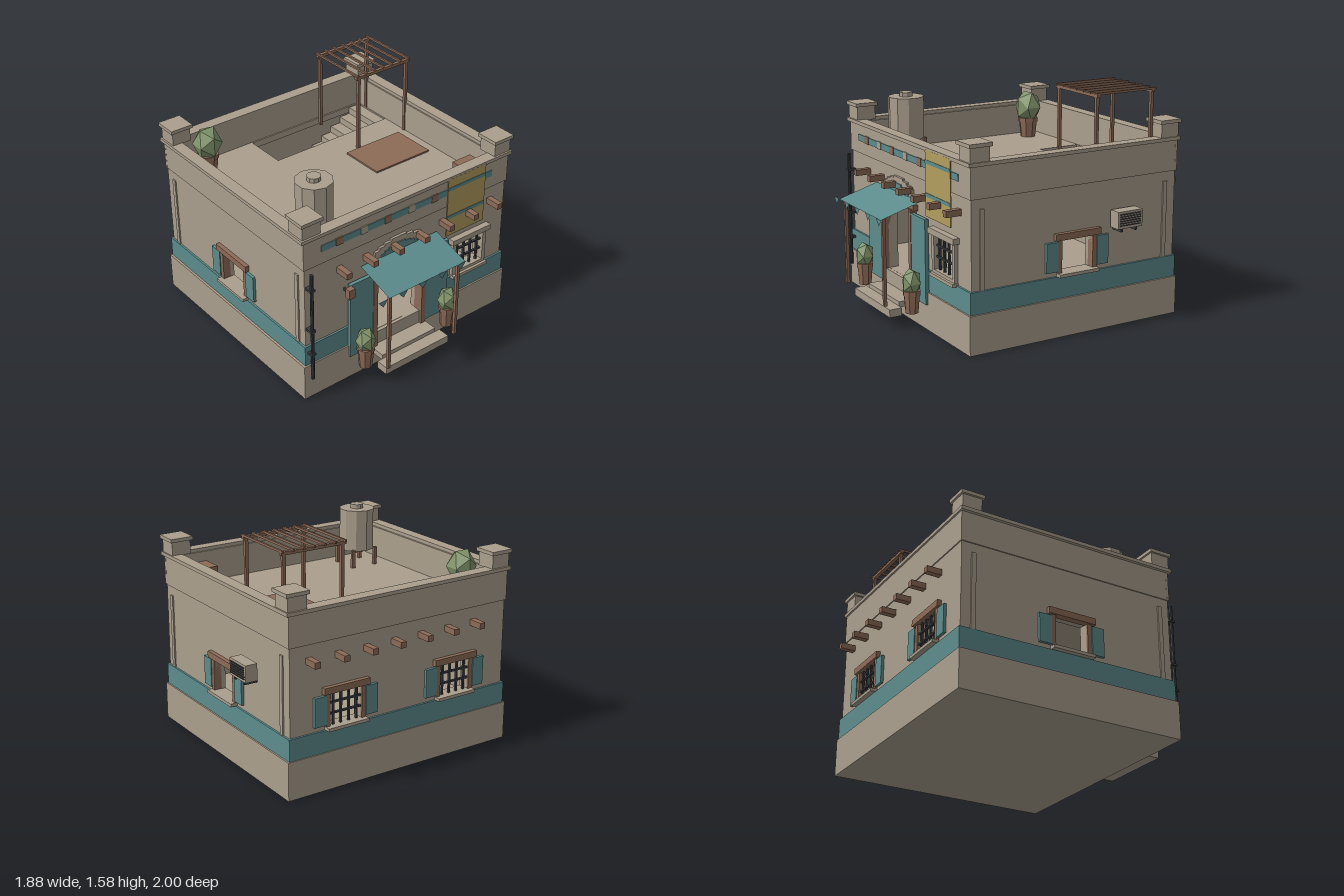
import * as THREE from 'three';

const mat = (name, color) => {
  const m = new THREE.MeshStandardMaterial({ color, side: THREE.DoubleSide, flatShading: true });
  m.name = name;
  return m;
};

export function createModel() {
  const model = new THREE.Group();
  const adobe = mat('adobe', 0xab9f8d), teal = mat('teal', 0x5d8c8d), wood = mat('wood', 0x8d6b57);
  const iron = mat('iron', 0x3c3e41), leaf = mat('leaf', 0x82956c), ochre = mat('ochre', 0xb39e5e);

  const add = (parent, name, geo, material) => {
    const m = new THREE.Mesh(geo, material);
    m.name = name;
    parent.add(m);
    return m;
  };
  // Box given by its minimum and maximum on each axis
  const box = (parent, name, material, x0, x1, y0, y1, z0, z1) => {
    const m = add(parent, name, new THREE.BoxGeometry(x1 - x0, y1 - y0, z1 - z0), material);
    m.position.set((x0 + x1) / 2, (y0 + y1) / 2, (z0 + z1) / 2);
    return m;
  };
  const cyl = (parent, name, material, rTop, rBottom, y0, y1, sides, x, z) => {
    const m = add(parent, name, new THREE.CylinderGeometry(rTop, rBottom, y1 - y0, sides), material);
    m.position.set(x, (y0 + y1) / 2, z);
    return m;
  };
  const rect = (path, x0, x1, y0, y1) =>
    path.moveTo(x0, y0).lineTo(x1, y0).lineTo(x1, y1).lineTo(x0, y1).closePath();
  // Plate with rectangular holes; depth runs from z0 to z1
  const holed = (parent, name, material, r, holes, z0, z1) => {
    const s = rect(new THREE.Shape(), ...r);
    holes.forEach(h => s.holes.push(rect(new THREE.Path(), ...h)));
    const m = add(parent, name, new THREE.ExtrudeGeometry(s, { depth: z1 - z0, bevelEnabled: false }), material);
    m.position.z = z0;
    return m;
  };
  // Each facade is a group whose local z = 0 is the outer wall plane
  const facade = (name, x, z, turn) => {
    const g = new THREE.Group();
    g.name = name;
    g.position.set(x, 0, z);
    g.rotation.y = turn;
    model.add(g);
    return g;
  };
  const X0 = -0.895, X1 = 0.825, Z0 = -0.895, Z1 = 0.69, T = 0.07, ROOF = 1.0;
  const front = facade('frontFacade', 0, Z1, 0);
  const back = facade('backFacade', 0, Z0, Math.PI);
  const right = facade('leftFacade', X1, 0, Math.PI / 2);
  const left = facade('rightFacade', X0, 0, -Math.PI / 2);

  // Base, walls, painted band and parapet band
  box(model, 'base', adobe, -0.925, 0.85, 0, 0.265, -0.915, 0.715);
  const hole = u => [u - 0.12, u + 0.12, 0.435, 0.665];
  const frontWindow = [0.38, 0.625, 0.45, 0.69];
  const walls = [
    [front, X0, X1, [[-0.33, 0.06, 0.266, 0.79], frontWindow], 0.014],
    [back, -X1, -X0, [hole(0.47), hole(-0.41)], 0.014],
    [right, -Z1 + T, -Z0 - T, [hole(0.1)], T],
    [left, Z0 + T, Z1 - T, [hole(-0.1)], T],
  ];
  for (const [g, a, b, holes, ext] of walls) {
    holed(g, 'wall', adobe, [a, b, 0.265, 1.22], holes, -T, 0);
    box(g, 'parapetBand', adobe, a - Math.min(ext, T) + 0.005, b + ext - 0.005, 1.01, 1.22, -0.01, 0.008);
    if (g !== front) box(g, 'paintedBand', teal, a - ext, b + ext, 0.265, 0.415, -0.005, 0.014);
  }
  box(front, 'paintedBand', teal, X0 - 0.014, -0.365, 0.265, 0.415, -0.005, 0.014);
  box(front, 'paintedBand', teal, 0.09, X1 + 0.014, 0.265, 0.415, -0.005, 0.014);
  for (const [g, s] of [[right, -1], [left, 1]])
    for (const z of [0.615, -0.81]) box(g, 'pilasterStrip', adobe, s * z - 0.016, s * z + 0.016, 0.415, 0.945, 0, 0.01);

  // Roof deck with stair opening, and coping ring
  const flat = (name, r, holes, y0, y1) => {
    const m = holed(model, name, adobe, r, holes, 0, y1 - y0);
    m.rotation.x = -Math.PI / 2;
    m.position.y = y0;
  };
  flat('roofDeck', [X0 + 0.03, X1 - 0.03, -Z1 + 0.03, -Z0 - 0.03], [[-0.23, 0.75, 0.5, 0.815]], 0.95, ROOF);
  flat('coping', [-0.925, 0.85, -0.715, 0.915], [[-0.84, 0.765, -0.63, 0.825]], 1.22, 1.245);
  for (let i = 0; i < 11; i++) {
    const x = -0.23 + i * 0.089, y = 0.49 + i * 0.05;
    box(model, 'stairTread', adobe, x, x + 0.089, y - 0.05, y, -0.815, -0.5);
  }

  // Corner piers
  for (const x of [-0.842, 0.77]) for (const z of [-0.832, 0.632]) {
    box(model, 'cornerPier', adobe, x - 0.07, x + 0.07, 1.24, 1.34, z - 0.07, z + 0.07);
    box(model, 'cornerPierCap', adobe, x - 0.084, x + 0.084, 1.34, 1.365, z - 0.084, z + 0.084);
  }

  // Window bars: vertical and horizontal rods
  const bars = (g, x0, x1, y0, y1, n) => {
    for (let i = 0; i < n; i++) {
      const x = x0 + (x1 - x0) * (i + 0.5) / n;
      box(g, 'windowBar', iron, x - 0.007, x + 0.007, y0, y1, -0.012, 0.002);
    }
    for (const f of [0.36, 0.68]) {
      const y = y0 + (y1 - y0) * f;
      box(g, 'windowCrossBar', iron, x0, x1, y - 0.006, y + 0.006, -0.01, 0.006);
    }
  };
  // Shuttered windows on sides and back
  const shuttered = (g, u, barred) => {
    box(g, 'windowLintel', wood, u - 0.175, u + 0.175, 0.66, 0.705, -0.02, 0.03);
    box(g, 'windowSill', adobe, u - 0.155, u + 0.155, 0.415, 0.437, -0.03, 0.05);
    for (const s of [-1, 1]) {
      const jamb = u + s * 0.136, shutter = u + s * 0.198;
      box(g, 'windowJamb', wood, jamb - 0.016, jamb + 0.016, 0.435, 0.665, -0.04, 0.015);
      box(g, 'shutter', teal, shutter - 0.045, shutter + 0.045, 0.45, 0.65, 0, 0.02);
    }
    if (barred) bars(g, u - 0.12, u + 0.12, 0.435, 0.665, 4);
  };
  shuttered(right, 0.1, false);
  shuttered(left, -0.1, false);
  shuttered(back, 0.47, true);
  shuttered(back, -0.41, true);

  // Front window
  holed(front, 'frontWindowFrame', adobe, [0.35, 0.655, 0.42, 0.695], [frontWindow], 0, 0.025);
  box(front, 'frontWindowLintel', adobe, 0.33, 0.675, 0.69, 0.73, 0, 0.045);
  box(front, 'frontWindowSill', adobe, 0.345, 0.66, 0.405, 0.428, 0, 0.045);
  bars(front, ...frontWindow, 4);

  // Projecting roof beams
  for (let i = 0; i < 7; i++) {
    const x = -0.62 + i * 0.2175;
    box(model, 'roofBeam', wood, x - 0.021, x + 0.021, 0.884, 0.926, Z1 - 0.04, 0.8);
    box(model, 'roofBeam', wood, x - 0.021, x + 0.021, 0.884, 0.926, -1, Z0 + 0.04);
  }

  // Doorway: jambs, open leaves, steps
  box(model, 'doorJamb', wood, -0.367, -0.33, 0.165, 0.79, 0.66, 0.735);
  box(model, 'doorJamb', wood, 0.057, 0.092, 0.165, 0.79, 0.66, 0.735);
  box(model, 'doorLintel', wood, -0.39, 0.115, 0.78, 0.82, 0.66, 0.725);
  box(model, 'doorLeaf', teal, -0.56, -0.368, 0.18, 0.765, 0.705, 0.732);
  box(model, 'doorLeaf', teal, 0.093, 0.29, 0.18, 0.765, 0.705, 0.732);
  box(model, 'upperStep', adobe, -0.37, 0.1, 0.125, 0.165, 0.7, 0.835);
  box(model, 'lowerStep', adobe, -0.41, 0.14, 0.08, 0.135, 0.835, 0.925);

  // Stepped crown over the door
  const crown = (name, material, steps, z0, z1) => {
    const pts = [];
    let y = 0.8;
    for (const [w, top] of steps) { pts.push([w, y], [w, top]); y = top; }
    const all = [...pts, ...pts.map(([a, b]) => [-a, b]).reverse()];
    const s = new THREE.Shape(all.map(([a, b]) => new THREE.Vector2(a - 0.135, b)));
    add(model, name, new THREE.ExtrudeGeometry(s, { depth: z1 - z0, bevelEnabled: false }), material).position.z = z0;
  };
  crown('doorCrown', adobe, [[0.225, 0.885], [0.2, 0.91], [0.165, 0.93], [0.12, 0.945], [0.065, 0.96]], 0.68, 0.708);
  crown('doorCrownInset', teal, [[0.155, 0.875], [0.125, 0.893], [0.09, 0.906], [0.05, 0.918]], 0.7, 0.714);

  // Cloth awning with pennants and posts
  const awning = add(model, 'awning', new THREE.PlaneGeometry(0.65, Math.hypot(0.29, 0.085)), teal);
  awning.position.set(-0.135, 0.8175, 0.855);
  awning.rotation.x = -Math.atan2(0.29, 0.085);
  for (let i = 0; i < 5; i++) {
    const s = new THREE.Shape([[-0.04, 0], [0, -0.05], [0.04, 0]].map(p => new THREE.Vector2(...p)));
    add(model, 'pennant', new THREE.ShapeGeometry(s), teal).position.set(-0.508 + i * 0.166, 0.776, 0.998);
  }
  for (const x of [-0.428, 0.155]) box(model, 'awningPost', wood, x - 0.011, x + 0.011, 0.175, 0.782, 0.954, 0.976);

  // Painted frieze with tiles, and hanging banner
  box(model, 'frieze', teal, -0.765, 0.685, 1.1, 1.147, 0.697, 0.703);
  [wood, adobe, wood, adobe, wood, adobe, teal].forEach((m, i) => {
    const x = -0.625 + i * 0.1985;
    box(model, 'friezeTile', m, x - 0.027, x + 0.027, 1.098, 1.152, 0.699, 0.707);
  });
  box(model, 'banner', ochre, 0.275, 0.612, 0.785, 1.23, 0.71, 0.716);
  for (const y of [0.92, 1.14]) box(model, 'bannerStripe', teal, 0.275, 0.612, y, y + 0.025, 0.714, 0.719);

  // Drainpipe and wall lantern
  cyl(model, 'drainpipe', iron, 0.012, 0.012, 0.16, 0.99, 8, -0.87, 0.733);
  for (const y of [0.365, 0.55, 0.87]) box(model, 'pipeClamp', iron, -0.889, -0.851, y - 0.008, y + 0.008, 0.69, 0.748);
  box(model, 'wallLantern', wood, -0.603, -0.555, 0.695, 0.765, 0.733, 0.775);
  box(model, 'lanternBracket', iron, -0.585, -0.573, 0.72, 0.74, 0.685, 0.735);

  // Wall air unit
  box(model, 'airUnit', adobe, 0.845, 0.932, 0.695, 0.812, -0.55, -0.355);
  for (let i = 0; i < 6; i++)
    box(model, 'airUnitGrille', iron, 0.93, 0.939, 0.714 + i * 0.015, 0.721 + i * 0.015, -0.535, -0.37);
  for (const z of [-0.51, -0.395]) box(model, 'airUnitBracket', iron, 0.82, 0.92, 0.67, 0.696, z - 0.008, z + 0.008);

  // Potted plants
  const plant = (x, y, z, r, potH, leafR, leafH, leafY) => {
    cyl(model, 'plantPot', wood, r, r * 0.78, y, y + potH, 8, x, z);
    cyl(model, 'plantPotRim', wood, r * 1.06, r * 1.04, y + potH * 0.8, y + potH * 1.01, 8, x, z);
    const f = add(model, 'foliage', new THREE.IcosahedronGeometry(1, 0), leaf);
    f.scale.set(leafR, leafH, leafR);
    f.position.set(x, leafY, z);
  };
  plant(-0.489, 0.125, 0.805, 0.058, 0.155, 0.07, 0.101, 0.334);
  plant(0.23, 0.125, 0.805, 0.058, 0.155, 0.07, 0.101, 0.334);
  plant(-0.69, ROOF, -0.68, 0.072, 0.145, 0.104, 0.13, 1.228);

  // Water tank on legs
  cyl(model, 'waterTank', adobe, 0.128, 0.128, 1.12, 1.42, 10, -0.595, 0.405);
  cyl(model, 'waterTankLid', adobe, 0.048, 0.048, 1.42, 1.45, 10, -0.595, 0.405);
  for (const sx of [-1, 1]) for (const sz of [-1, 1]) {
    const x = -0.595 + sx * 0.097, z = 0.405 + sz * 0.097;
    box(model, 'tankLeg', wood, x - 0.012, x + 0.012, ROOF, 1.13, z - 0.012, z + 0.012);
  }

  // Pergola, mat and crate on the roof
  for (const z of [-0.73, -0.29]) {
    for (const x of [0.325, 0.757]) box(model, 'pergolaPost', wood, x - 0.011, x + 0.011, ROOF, 1.555, z - 0.011, z + 0.011);
    box(model, 'pergolaBeam', wood, 0.3, 0.78, 1.55, 1.572, z - 0.013, z + 0.013);
  }
  for (let i = 0; i < 7; i++) {
    const x = 0.311 + i * 0.077;
    box(model, 'pergolaSlat', wood, x - 0.007, x + 0.007, 1.567, 1.582, -0.755, -0.272);
  }
  box(model, 'roofMat', wood, 0.205, 0.685, ROOF, 1.012, -0.27, 0.065);
  box(model, 'roofCrate', wood, 0.545, 0.705, ROOF, 1.15, 0.46, 0.62);

  return model;
}
